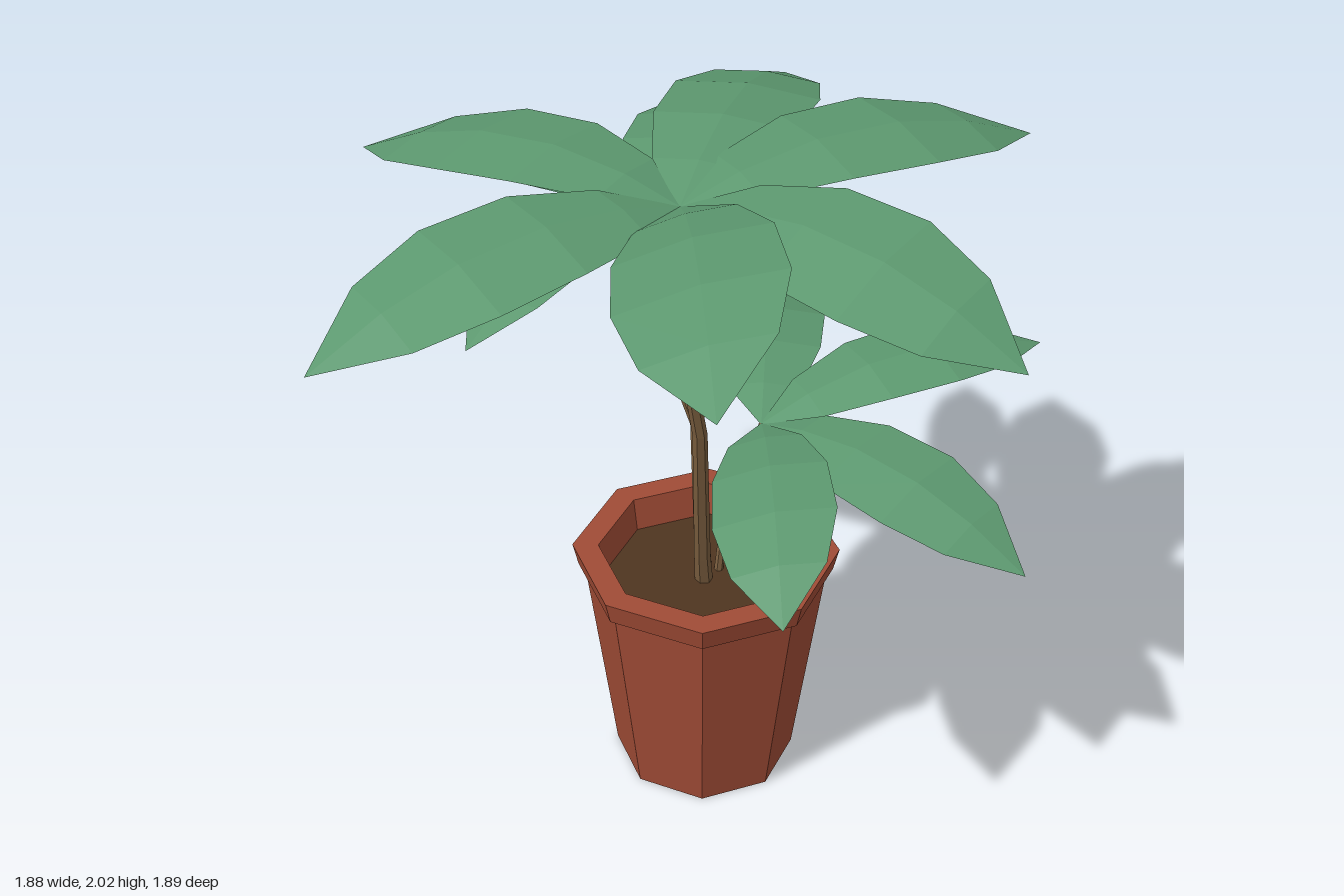
import * as THREE from 'three';

const mat = (color, side = THREE.FrontSide) =>
  new THREE.MeshStandardMaterial({ color, flatShading: true, side });
const clay = mat(0xa04c36);
const earth = mat(0x4f3520);
const bark = mat(0x7d6040);
const green = mat(0x5c986f, THREE.DoubleSide);

const POT_X = 0.01, POT_Z = -0.12;

function mesh(name, geometry, material) {
  const m = new THREE.Mesh(geometry, material);
  m.name = name;
  return m;
}

// Eight-sided flower pot with a flared rim, and the soil inside it
function makePot() {
  const g = new THREE.Group();
  g.name = 'flowerPot';
  const profile = [
    [0, 0], [0.249, 0], [0.329, 0.63], [0.345, 0.63], [0.36, 0.695], [0.29, 0.695], [0.272, 0.57],
  ].map(([r, y]) => new THREE.Vector2(r, y));
  g.add(mesh('pot', new THREE.LatheGeometry(profile, 8, Math.PI / 8), clay));
  const soil = mesh('soil', new THREE.CylinderGeometry(0.278, 0.27, 0.02, 8, 1, false, Math.PI / 8), earth);
  soil.position.y = 0.59;
  g.add(soil);
  g.position.set(POT_X, 0, POT_Z);
  return g;
}

// Tapered stem: each ring of a cylinder is moved onto one point of the path
function makeStem(path, rBottom, rTop) {
  const n = path.length - 1;
  const geo = new THREE.CylinderGeometry(rTop, rBottom, n, 6, n);
  const p = geo.attributes.position;
  for (let i = 0; i < p.count; i++) {
    const [x, y, z] = path[Math.round(p.getY(i) + n / 2)];
    p.setXYZ(i, p.getX(i) + x, y, p.getZ(i) + z);
  }
  return mesh('stem', geo, bark);
}

// Leaf outline: distance along the leaf, half width as a share of the widest
const OUTLINE = [[0, 0.02], [0.16, 0.62], [0.37, 0.94], [0.6, 1], [0.8, 0.75], [1, 0]];

// Arched, slightly folded leaf from hub to tip; roll tilts it sideways
function makeLeaf(hub, tip, roll, widthRatio, arch) {
  const a = new THREE.Vector3(...hub), b = new THREE.Vector3(...tip);
  const d = b.clone().sub(a).setY(0);
  const half = d.length() * widthRatio / 2;
  d.normalize();
  const side = new THREE.Vector3(-d.z, roll, d.x);
  const pos = [], index = [];
  OUTLINE.forEach(([t, w], i) => {
    const mid = a.clone().lerp(b, t);
    mid.y += 4 * arch * t * (1 - t);
    for (const s of [-1, 0, 1]) {
      const q = mid.clone().addScaledVector(side, s * w * half);
      q.y -= Math.abs(s) * w * 0.02;
      pos.push(q.x, q.y, q.z);
    }
    if (i === 0) return;
    for (let k = 0; k < 2; k++) {
      const p = (i - 1) * 3 + k, q = p + 3;
      index.push(p, p + 1, q, p + 1, q + 1, q);
    }
  });
  const geo = new THREE.BufferGeometry();
  geo.setAttribute('position', new THREE.Float32BufferAttribute(pos, 3));
  geo.setIndex(index);
  geo.computeVertexNormals();
  return mesh('leaf', geo, green);
}

// Each branch: stem path ending at the leaf hub, then leaf tips as [x, y, z, roll]
const BRANCHES = [
  {
    name: 'tallBranch', radii: [0.025, 0.013], width: 0.39, arch: 0.11,
    path: [[0.01, 0.58, -0.11], [0.02, 0.7, -0.075], [0.062, 1.18, 0.04], [0.047, 1.64, 0.155], [0.035, 1.85, 0.1]],
    leaves: [
      [0.94, 1.76, 0.313, -0.22], [0.495, 1.9, 0.94, -0.27], [-0.475, 1.73, 0.914, 0.08],
      [-0.914, 1.73, -0.05, 0], [-0.09, 1.75, -0.853, 0], [0.646, 1.82, -0.646, 0],
    ],
  },
  {
    name: 'middleBranch', radii: [0.024, 0.012], width: 0.36, arch: 0.085,
    path: [[-0.015, 0.58, -0.16], [-0.02, 0.7, -0.16], [-0.035, 1.06, -0.16], [-0.16, 1.36, -0.165], [-0.21, 1.64, -0.21]],
    leaves: [
      [-0.31, 1.61, 0.52, -0.25], [-0.945, 1.57, -0.338, 0], [-0.793, 1.38, -0.616, -0.25],
      [-0.34, 1.57, -0.95, 0], [0.52, 1.57, -0.31, 0],
    ],
  },
  {
    name: 'lowBranch', radii: [0.013, 0.007], width: 0.37, arch: 0.095,
    path: [[0.03, 0.58, -0.16], [0.04, 0.7, -0.16], [0.055, 0.82, -0.16], [0.11, 0.98, -0.155], [0.15, 1.12, -0.15]],
    leaves: [
      [0.93, 1.04, 0.076, -0.1], [0.505, 1.1, 0.57, -0.2],
      [-0.145, 1.04, -0.935, 0], [0.707, 1.17, -0.742, 0],
    ],
  },
];

export function createModel() {
  const model = new THREE.Group();
  model.name = 'pottedPlant';
  model.add(makePot());
  for (const br of BRANCHES) {
    const g = new THREE.Group();
    g.name = br.name;
    g.add(makeStem(br.path, ...br.radii));
    const hub = br.path[br.path.length - 1];
    for (const [x, y, z, roll] of br.leaves) {
      g.add(makeLeaf(hub, [x, y, z], roll, br.width, br.arch));
    }
    model.add(g);
  }
  return model;
}
